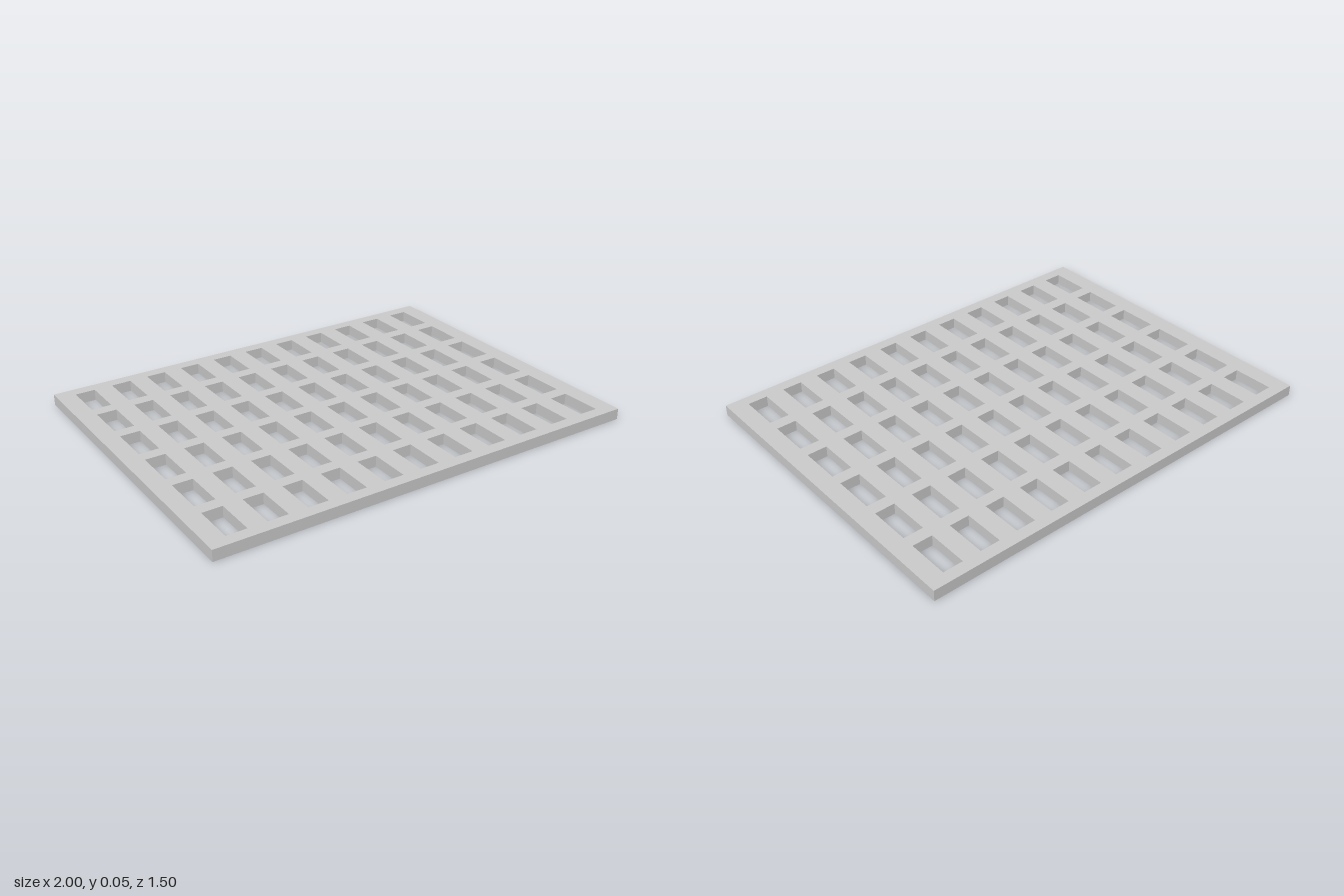
import * as THREE from 'three';

const WIDTH = 2, DEPTH = 1.5, THICKNESS = 0.05;
const COLUMNS = 11, ROWS = 6;
const PITCH_X = 0.1745, PITCH_Z = 0.2417;
const HOLE_X = 0.09, HOLE_Z = 0.185;

// Trace a rectangle centred on (cx, cy)
function rectangle(path, cx, cy, w, h) {
  path.moveTo(cx - w / 2, cy - h / 2);
  path.lineTo(cx + w / 2, cy - h / 2);
  path.lineTo(cx + w / 2, cy + h / 2);
  path.lineTo(cx - w / 2, cy + h / 2);
  path.closePath();
  return path;
}

export function createModel() {
  const group = new THREE.Group();
  group.name = 'grate';

  // Flat plate outline
  const outline = rectangle(new THREE.Shape(), 0, 0, WIDTH, DEPTH);

  // Regular grid of rectangular slots
  for (let i = 0; i < COLUMNS; i++) {
    for (let j = 0; j < ROWS; j++) {
      const x = (i - (COLUMNS - 1) / 2) * PITCH_X;
      const z = (j - (ROWS - 1) / 2) * PITCH_Z;
      outline.holes.push(rectangle(new THREE.Path(), x, z, HOLE_X, HOLE_Z));
    }
  }

  // Extrude upwards from the ground
  const geometry = new THREE.ExtrudeGeometry(outline, { depth: THICKNESS, bevelEnabled: false });
  geometry.rotateX(-Math.PI / 2);

  const plate = new THREE.Mesh(geometry, new THREE.MeshStandardMaterial({ color: 0xcccccc }));
  plate.name = 'slottedPlate';
  group.add(plate);
  return group;
}
